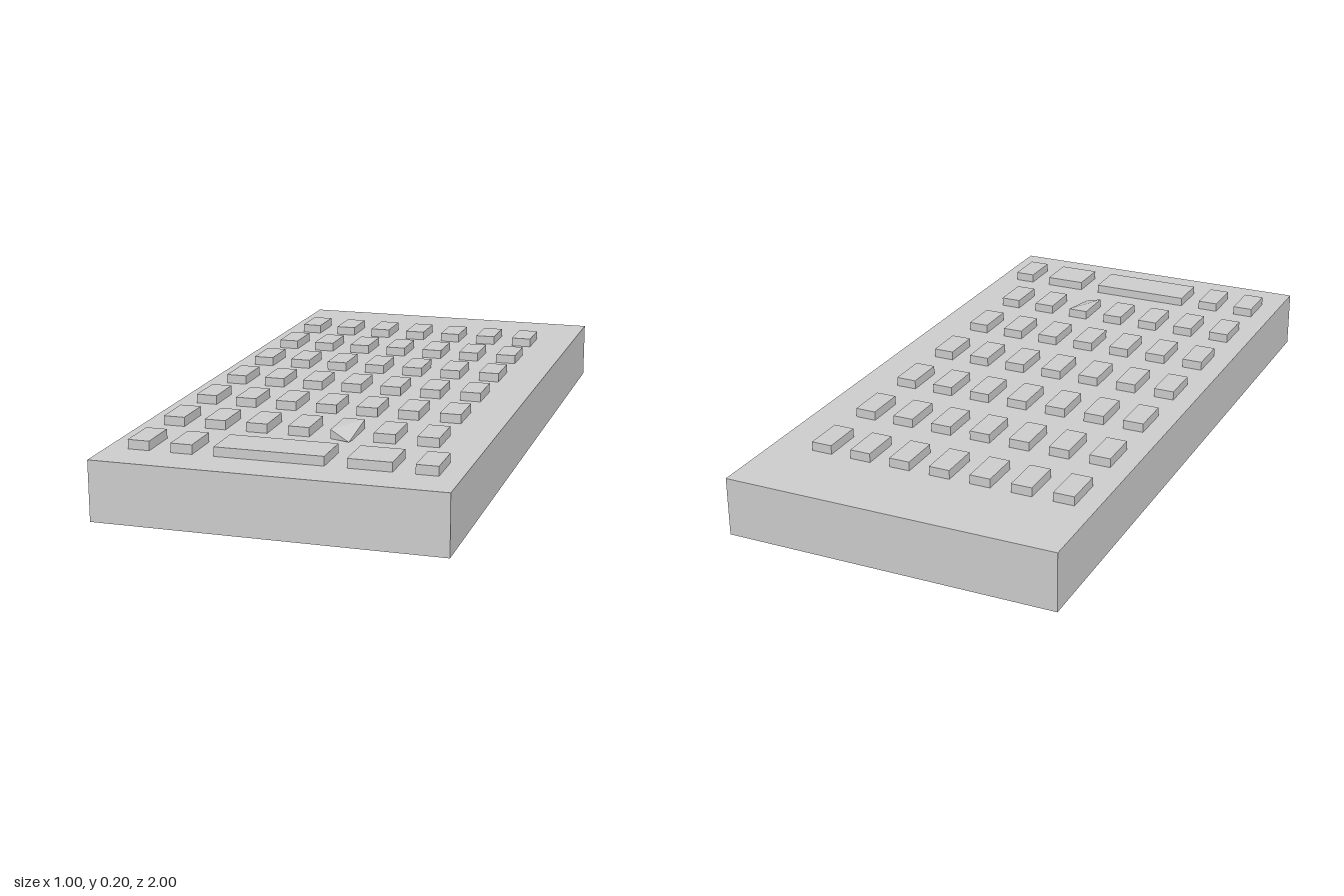
import * as THREE from 'three';

const BASE_H = 0.175, KEY_H = 0.027, KEY_W = 0.0625, KEY_D = 0.125;

export function createModel() {
  const model = new THREE.Group();
  const material = new THREE.MeshStandardMaterial({ color: 0xcccccc, flatShading: true });

  // Box resting on height y, given by its left edge and back edge
  function addBox(name, x, y, z, w, h, d, parent = model) {
    const mesh = new THREE.Mesh(new THREE.BoxGeometry(w, h, d), material);
    mesh.position.set(x + w / 2, y + h / 2, z + d / 2);
    mesh.name = name;
    parent.add(mesh);
    return mesh;
  }

  // Slab body
  addBox('body', -0.5, 0, -1, 1, BASE_H, 2);

  const keys = new THREE.Group();
  keys.name = 'keys';
  model.add(keys);
  const addKey = (name, x, z, w = KEY_W) => addBox(name, x, BASE_H, z, w, KEY_H, KEY_D, keys);

  // Six rows of seven small keys
  for (let row = 0; row < 6; row++) {
    for (let col = 0; col < 7; col++) {
      const bent = row === 5 && col === 4;
      const key = addKey(bent ? 'bentKey' : 'key', -0.4375 + col * 0.125, -0.75 + row * 0.25);
      if (!bent) continue;
      // The bent key has its front right top corner pulled forward and down
      const p = key.geometry.attributes.position;
      for (let i = 0; i < p.count; i++) {
        if (p.getX(i) > 0 && p.getY(i) > 0 && p.getZ(i) > 0) {
          p.setY(i, -KEY_H / 2 + 0.003);
          p.setZ(i, KEY_D / 2 + 0.03);
        }
      }
      key.geometry.computeVertexNormals();
    }
  }

  // Front row with a long bar and a wide key
  addKey('key', -0.4375, 0.75);
  addKey('key', -0.3125, 0.75);
  addKey('longBar', -0.1875, 0.75, 0.3125);
  addKey('wideKey', 0.1875, 0.75, 0.125);
  addKey('key', 0.375, 0.75);

  return model;
}
